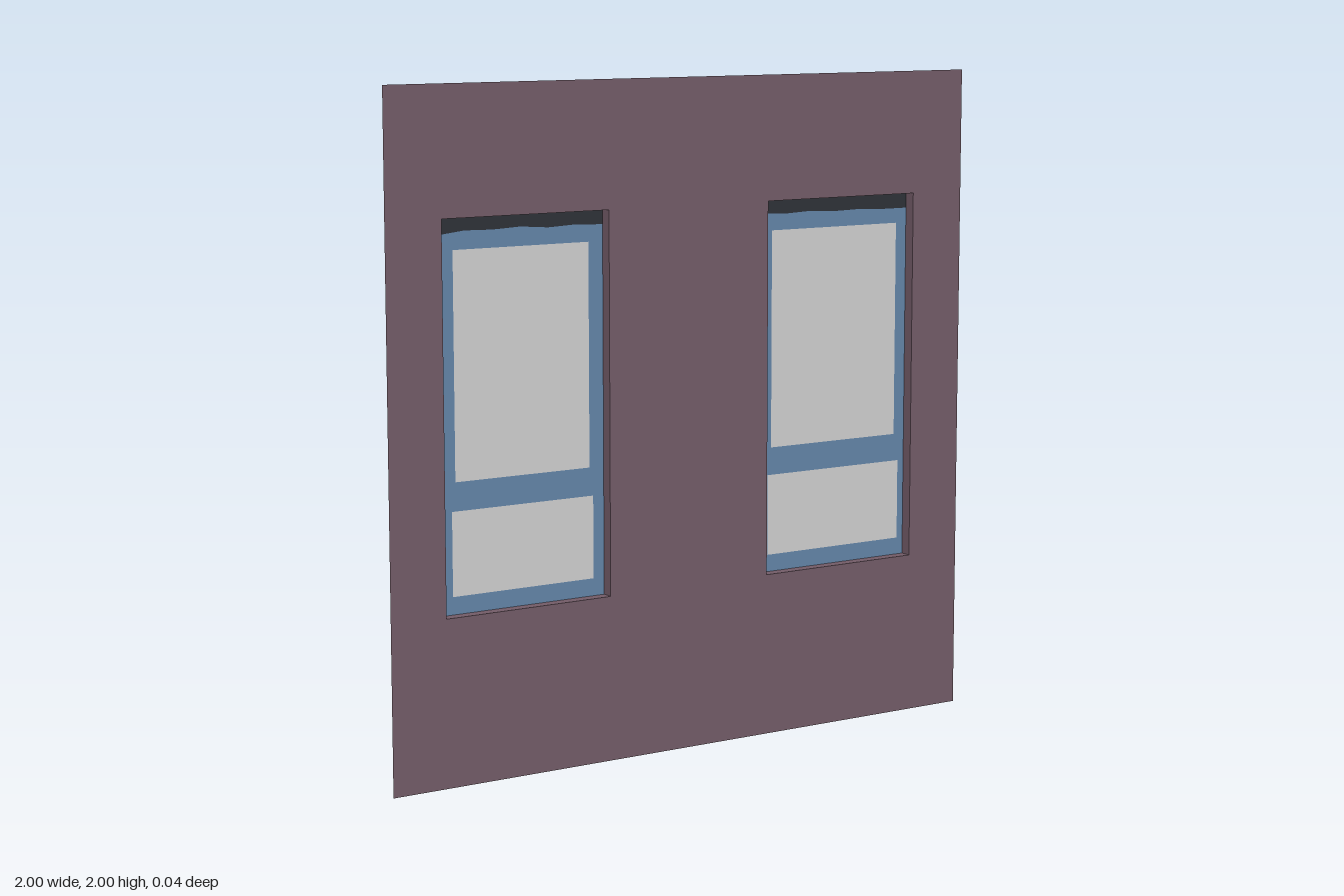
import * as THREE from 'three';

const FRONT = 0.018, BACK = -0.018; // wall plane and recessed window plane
const BOTTOM = 0.495, TOP = 1.627;

const paint = (name, color) => {
  const m = new THREE.MeshStandardMaterial({ color, side: THREE.DoubleSide });
  m.name = name;
  return m;
};

// closed rectangle, as a point list
const rect = ([x0, x1, y0, y1]) =>
  [[x0, y0], [x1, y0], [x1, y1], [x0, y1]].map(p => new THREE.Vector2(...p));

// flat panel with optional rectangular openings
function panel(name, points, openings, z, material) {
  const shape = new THREE.Shape(points);
  for (const o of openings) shape.holes.push(new THREE.Path(rect(o)));
  const mesh = new THREE.Mesh(new THREE.ShapeGeometry(shape), material);
  mesh.name = name;
  mesh.position.z = z;
  return mesh;
}

// four thin faces joining the wall opening to the recessed window
function reveals([x0, x1, y0, y1], material) {
  const group = new THREE.Group();
  group.name = 'windowReveal';
  const depth = FRONT - BACK;
  for (const [name, x] of [['rightJamb', x0], ['leftJamb', x1]]) {
    const jamb = new THREE.Mesh(new THREE.PlaneGeometry(depth, y1 - y0), material);
    jamb.rotation.y = x === x0 ? Math.PI / 2 : -Math.PI / 2;
    jamb.position.set(x, (y0 + y1) / 2, 0);
    jamb.name = name;
    group.add(jamb);
  }
  for (const [name, y] of [['sill', y0], ['lintel', y1]]) {
    const face = new THREE.Mesh(new THREE.PlaneGeometry(x1 - x0, depth), material);
    face.rotation.x = y === y0 ? -Math.PI / 2 : Math.PI / 2;
    face.position.set((x0 + x1) / 2, y, 0);
    face.name = name;
    group.add(face);
  }
  return group;
}

export function createModel() {
  const plaster = paint('mauve plaster', 0x745d69);
  const blue = paint('blue frame', 0x6486aa);
  const glass = paint('pale glass', 0xd2d2d2);
  const shade = paint('dark shade', 0x2e3238);

  const windows = [
    {
      name: 'rightWindow',
      outer: [-0.823, -0.279, BOTTOM, TOP],
      panes: [[-0.77, -0.327, 0.877, 1.535], [-0.782, -0.315, 0.547, 0.793]],
      edge: [1.578, 1.588, 1.586, 1.59, 1.583, 1.587, 1.583],
    },
    {
      name: 'leftWindow',
      outer: [0.276, 0.817, BOTTOM, TOP],
      panes: [[0.315, 0.779, 0.877, 1.535], [0.303, 0.795, 0.547, 0.793]],
      edge: [1.588, 1.583, 1.587, 1.582, 1.584, 1.58, 1.58],
    },
  ];

  const model = new THREE.Group();
  model.name = 'wallWithWindows';
  model.add(panel('wall', rect([-1, 1, 0, 2]), windows.map(w => w.outer), FRONT, plaster));

  for (const { name, outer, panes, edge } of windows) {
    const [x0, x1, y0, y1] = outer;
    const group = new THREE.Group();
    group.name = name;
    group.add(reveals(outer, plaster));

    // uneven line where the dark top band meets the frame
    const line = edge.map((y, i) =>
      new THREE.Vector2(THREE.MathUtils.lerp(x0, x1, i / (edge.length - 1)), y));
    const lower = [new THREE.Vector2(x1, y0), new THREE.Vector2(x0, y0)];
    const upper = [new THREE.Vector2(x1, y1), new THREE.Vector2(x0, y1)];
    group.add(panel('frame', [...line, ...lower], panes, BACK, blue));
    group.add(panel('topBand', [...line, ...upper], [], BACK, shade));

    // glass panes fill the frame openings
    panes.forEach((p, i) =>
      group.add(panel(i ? 'lowerPane' : 'upperPane', rect(p), [], BACK, glass)));
    model.add(group);
  }
  return model;
}
